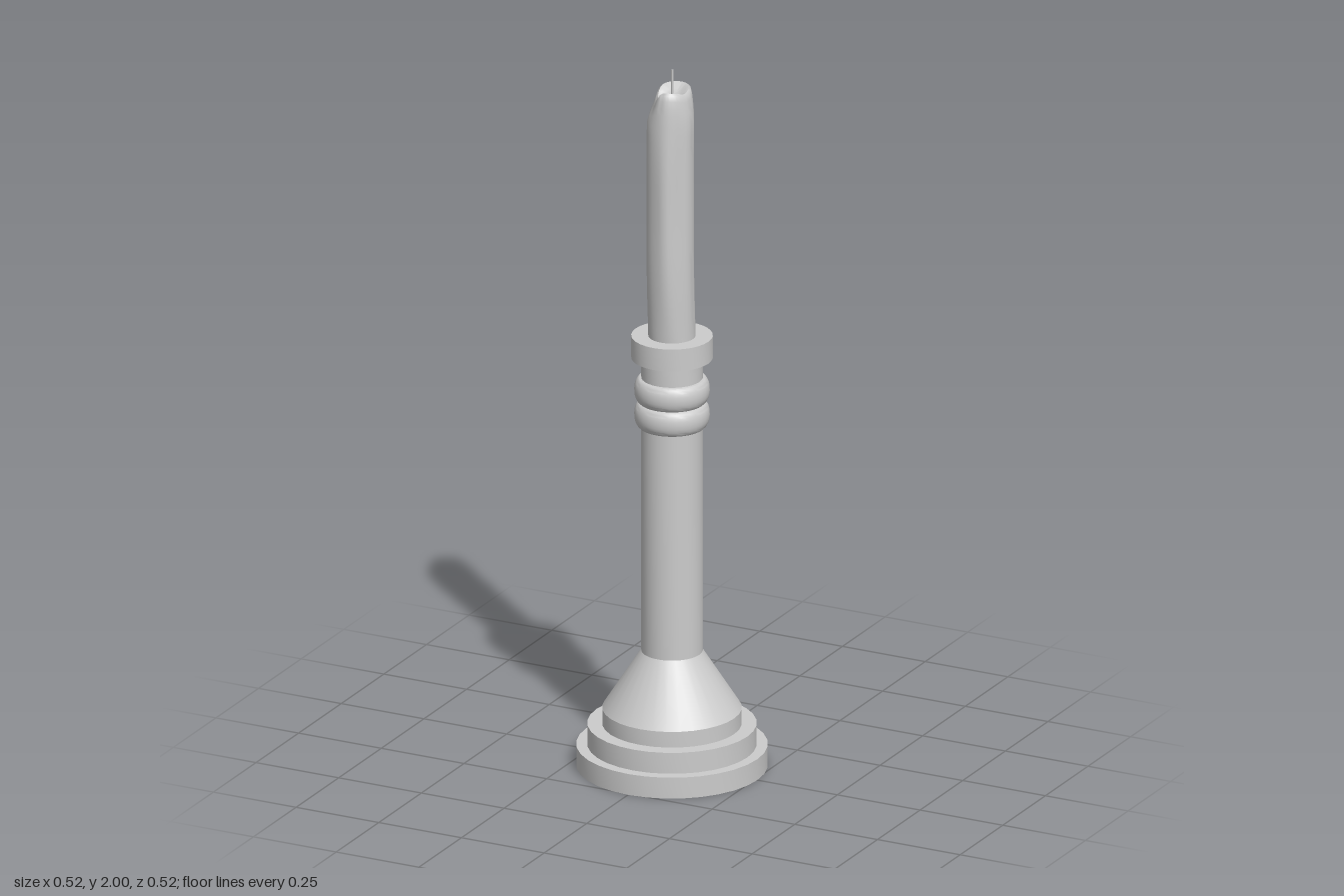
import * as THREE from 'three';
import { toCreasedNormals } from 'three/addons/utils/BufferGeometryUtils.js';

const SIDES = 32;
const material = new THREE.MeshStandardMaterial({ color: 0xcccccc });

function addMesh(group, name, geometry) {
  const mesh = new THREE.Mesh(geometry, material);
  mesh.name = name;
  group.add(mesh);
  return mesh;
}

function turned(points) {
  return new THREE.LatheGeometry(points.map(([r, y]) => new THREE.Vector2(r, y)), SIDES);
}

// Turned holder: stepped foot, cone, shaft, two beads and a cup
function holderGeometry() {
  const points = [
    [0, 0], [0.258, 0], [0.258, 0.06], [0.228, 0.06], [0.228, 0.12],
    [0.188, 0.12], [0.188, 0.165], [0.083, 0.33], [0.083, 0.975],
  ];
  const steps = 10;
  for (const y of [0.975, 1.045]) {
    for (let i = 0; i <= steps; i++) {
      const a = (i / steps) * Math.PI;
      points.push([0.085 + 0.017 * Math.sin(a), y + 0.035 - 0.035 * Math.cos(a)]);
    }
  }
  points.push([0.083, 1.115], [0.083, 1.172], [0.11, 1.172], [0.11, 1.235], [0, 1.235]);
  return toCreasedNormals(turned(points), 0.5);
}

// Melted candle: a turned stick, bent, fluted by drips and sagging at the rim
function candleGeometry() {
  const bottom = 1.23, top = 1.95;
  const points = [];
  for (let i = 0; i <= 20; i++) points.push([0.064, bottom + (i / 20) * 0.66]);
  points.push([0.063, 1.91], [0.061, 1.93], [0.057, 1.945], [0.05, 1.95],
    [0.04, 1.946], [0.028, 1.938], [0.014, 1.933], [0, 1.932]);
  const geometry = turned(points);
  const pos = geometry.attributes.position;
  const bump = (d, width) => Math.exp(-((d / width) ** 2));

  for (let i = 0; i < pos.count; i++) {
    let x = pos.getX(i), y = pos.getY(i), z = pos.getZ(i);
    const t = THREE.MathUtils.clamp((y - bottom) / (top - bottom), 0, 1);
    const r = Math.hypot(x, z), edge = r / 0.064;
    const angle = Math.atan2(x, z);
    const melt = THREE.MathUtils.smoothstep(y, 1.84, 1.95);

    // Drip running down the front with a groove beside it
    const swell = 1 + Math.sin(Math.PI * t) *
      (0.1 * bump(angle - 0.25, 0.3) - 0.1 * bump(angle - 0.85, 0.25) + 0.03 * Math.sin(9 * t) * Math.cos(angle));
    x *= swell * (1 - 0.22 * melt);
    z *= swell;

    // Uneven rim, lowest at the front left of the pool
    y -= melt * edge * (0.035 * bump(angle + 0.95, 0.5) + 0.012 * bump(angle - 1.4, 0.5));
    x += 0.006 * melt;
    z += 0.01 * Math.sin(Math.PI * t) + 0.004 * t;
    pos.setXYZ(i, x, y, z);
  }
  return toCreasedNormals(geometry, 0.8);
}

export function createModel() {
  const group = new THREE.Group();
  group.name = 'candlestick';
  addMesh(group, 'holder', holderGeometry());
  addMesh(group, 'candle', candleGeometry());
  const wick = addMesh(group, 'wick', new THREE.CylinderGeometry(0.003, 0.003, 0.08, 8));
  wick.position.set(0.003, 1.96, 0.004);
  return group;
}
